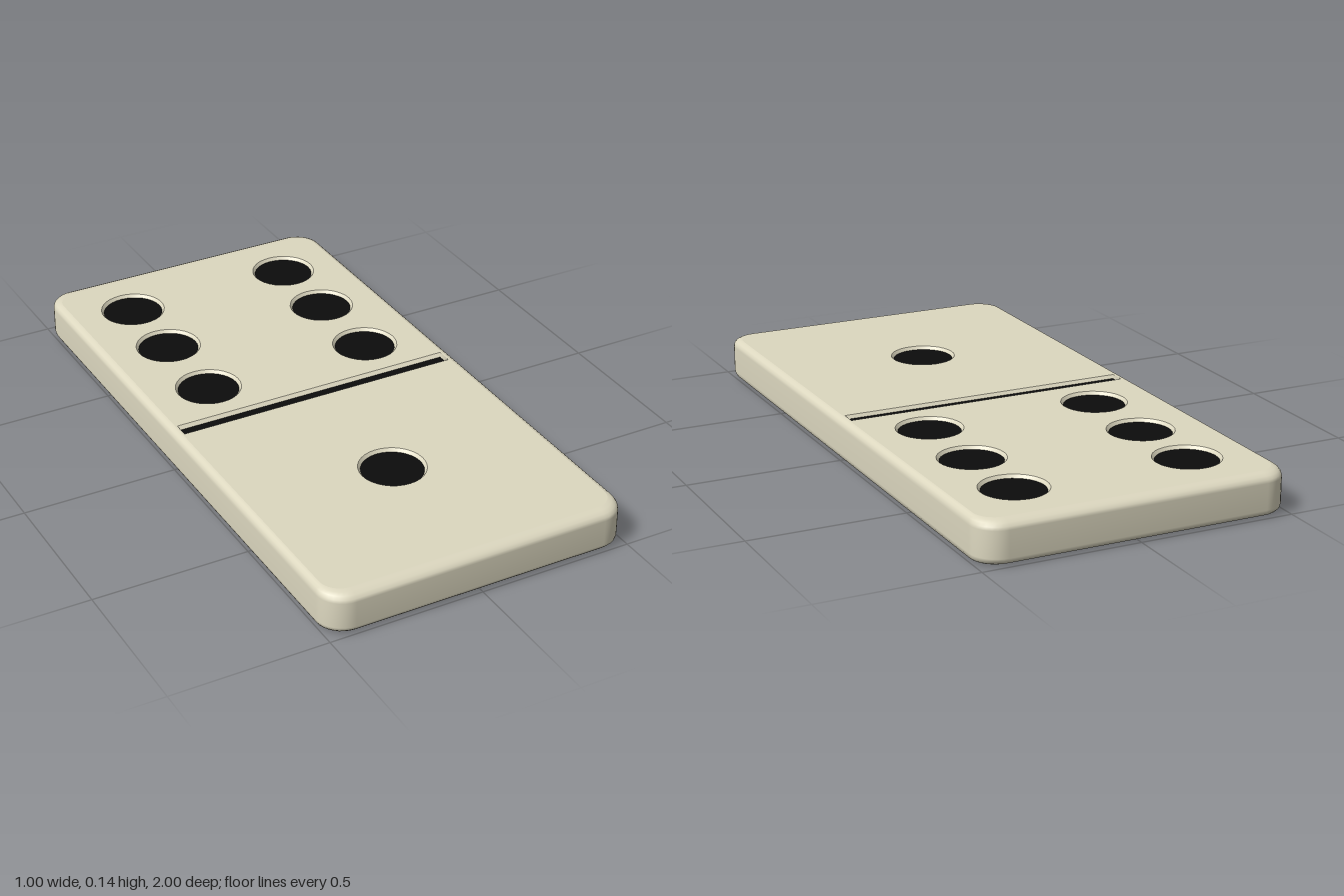
import * as THREE from 'three';

const HEIGHT = 0.135;
const DEPTH = 0.01;

// Outline as [x, z] points, running from +x towards +z
function roundedRect(hx, hz, r, steps = 8) {
  const pts = [];
  [[1, 1], [-1, 1], [-1, -1], [1, -1]].forEach(([sx, sz], k) => {
    for (let i = 0; i <= steps; i++) {
      const a = (k + i / steps) * Math.PI / 2;
      pts.push([sx * (hx - r) + r * Math.cos(a), sz * (hz - r) + r * Math.sin(a)]);
    }
  });
  return pts;
}

function circle(x, z, r, steps = 32) {
  return Array.from({ length: steps }, (_, i) => {
    const a = i / steps * Math.PI * 2;
    return [x + r * Math.cos(a), z + r * Math.sin(a)];
  });
}

function rect(hx, z0, z1) {
  return [[hx, z1], [-hx, z1], [-hx, z0], [hx, z0]];
}

// Skin joining closed outlines, each placed at its own height
function loft(rings) {
  const n = rings[0].pts.length, pos = [], index = [];
  rings.forEach(({ y, pts }) => pts.forEach(([x, z]) => pos.push(x, y, z)));
  for (let r = 0; r < rings.length - 1; r++) {
    for (let i = 0; i < n; i++) {
      const j = (i + 1) % n, a = r * n, b = a + n;
      index.push(a + i, b + i, a + j, a + j, b + i, b + j);
    }
  }
  const geo = new THREE.BufferGeometry();
  geo.setAttribute('position', new THREE.Float32BufferAttribute(pos, 3));
  geo.setIndex(index);
  geo.computeVertexNormals();
  return geo;
}

// Flat face filling an outline, looking up (dir 1) or down (dir -1)
function cap(pts, y, dir = 1, holes = []) {
  const flat = (p) => p.map(([x, z]) => new THREE.Vector2(x, -dir * z));
  const shape = new THREE.Shape(flat(pts));
  shape.holes = holes.map((h) => new THREE.Path(flat(h)));
  return new THREE.ShapeGeometry(shape).rotateX(-dir * Math.PI / 2).translate(0, y, 0);
}

export function createModel() {
  const group = new THREE.Group();
  const ivory = new THREE.MeshStandardMaterial({ color: 0xddd8c0 });
  const black = new THREE.MeshStandardMaterial({ color: 0x0c0c0c });
  const add = (name, geo, mat) => {
    const mesh = new THREE.Mesh(geo, mat);
    mesh.name = name;
    group.add(mesh);
  };

  // Rounded edge profile of the tile, from the base to the top
  const rings = [];
  const ring = (y, t) => rings.push({ y, pts: roundedRect(0.5 - 0.022 * t, 1 - 0.04 * t, 0.085 - 0.02 * t) });
  const edge = 0.026, steps = 4;
  for (let i = 0; i <= steps; i++) {
    const a = i / steps * Math.PI / 2;
    ring(edge * (1 - Math.cos(a)), 1 - Math.sin(a));
  }
  for (let i = 0; i <= steps; i++) {
    const a = i / steps * Math.PI / 2;
    ring(HEIGHT - edge * (1 - Math.sin(a)), 1 - Math.cos(a));
  }
  // Run the loft from the base edge to the top edge
  rings.sort((a, b) => a.y - b.y);
  add('tileSides', loft(rings), ivory);

  // Shallow recesses: outer rim and painted floor
  const recesses = [];
  const pip = (x, z) => recesses.push({ name: 'pip', rim: circle(x, z, 0.105), floor: circle(x, z, 0.097) });
  for (const z of [-0.765, -0.49, -0.195]) {
    pip(-0.283, z);
    pip(0.285, z);
  }
  pip(-0.004, 0.485);
  recesses.push({ name: 'divider', rim: rect(0.472, -0.029, 0.023), floor: rect(0.466, -0.018, 0.014) });

  // Top and bottom faces
  add('topFace', cap(rings[rings.length - 1].pts, HEIGHT, 1, recesses.map((r) => r.rim)), ivory);
  add('bottomFace', cap(rings[0].pts, 0, -1), ivory);

  for (const { name, rim, floor } of recesses) {
    add(name + 'Rim', loft([{ y: HEIGHT, pts: rim }, { y: HEIGHT - DEPTH, pts: floor }]), ivory);
    add(name + 'Floor', cap(floor, HEIGHT - DEPTH), black);
  }
  return group;
}
